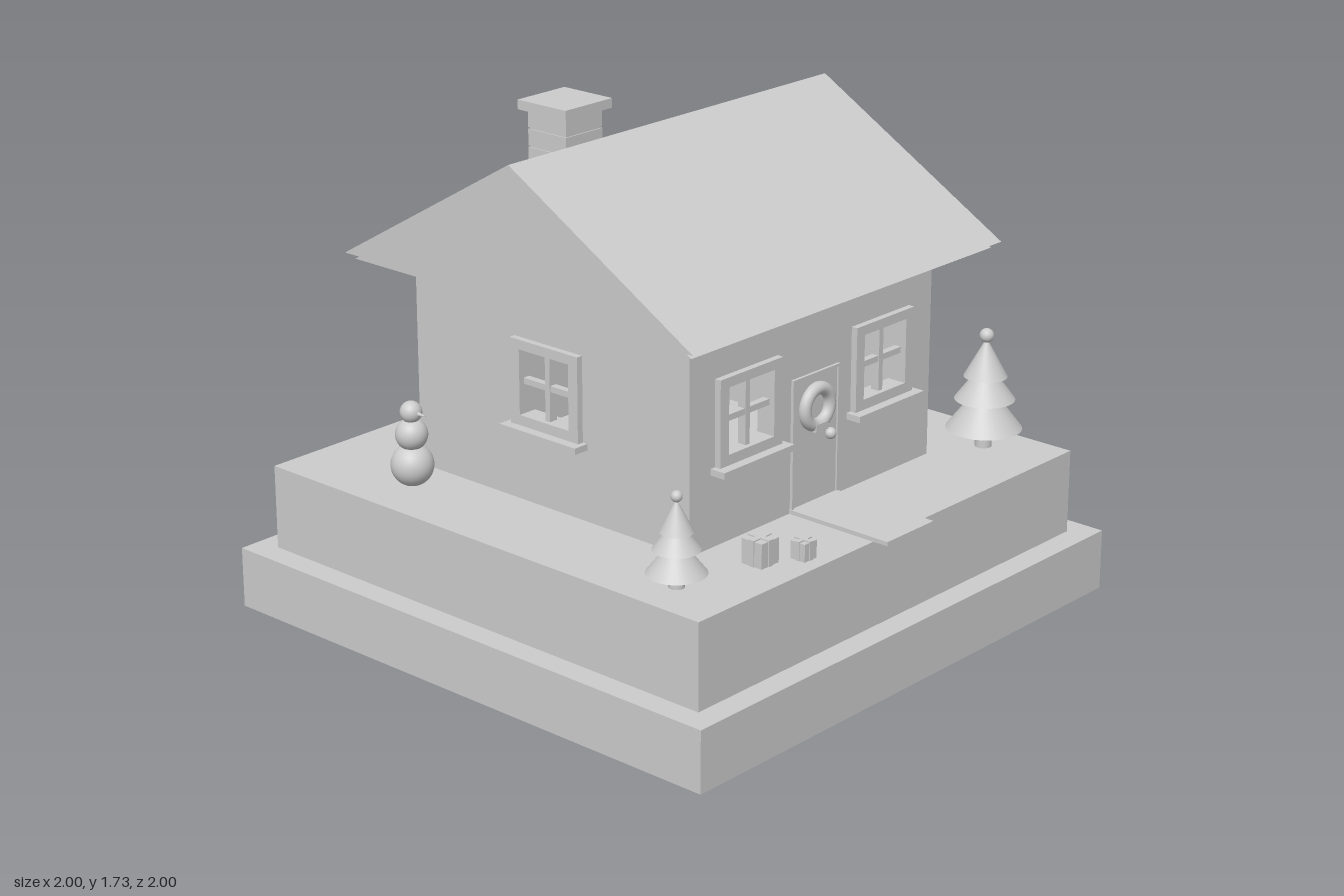
import * as THREE from 'three';

const plaster = new THREE.MeshStandardMaterial({ color: 0xcccccc });
plaster.name = 'plain grey';

function add(parent, name, geometry, x = 0, y = 0, z = 0) {
  const mesh = new THREE.Mesh(geometry, plaster);
  mesh.name = name;
  mesh.position.set(x, y, z);
  parent.add(mesh);
  return mesh;
}

function group(parent, name, x = 0, y = 0, z = 0) {
  const g = new THREE.Group();
  g.name = name;
  g.position.set(x, y, z);
  parent.add(g);
  return g;
}

// Box given by its lower and upper corners
function box(parent, name, [x0, y0, z0], [x1, y1, z1]) {
  return add(parent, name, new THREE.BoxGeometry(x1 - x0, y1 - y0, z1 - z0),
    (x0 + x1) / 2, (y0 + y1) / 2, (z0 + z1) / 2);
}

const rect = (S, x0, y0, x1, y1) => new S([[x0, y0], [x1, y0], [x1, y1], [x0, y1]]
  .map(([x, y]) => new THREE.Vector2(x, y)));

// Rectangular panel with rectangular holes, extruded along z
function panel(outer, holes, depth) {
  const shape = rect(THREE.Shape, ...outer);
  for (const h of holes) shape.holes.push(rect(THREE.Path, ...h));
  return new THREE.ExtrudeGeometry(shape, { depth, bevelEnabled: false });
}

// Gable prism with its ridge along x
function prism(halfX, halfZ, y0, y1) {
  const shape = new THREE.Shape();
  shape.moveTo(-halfZ, y0);
  shape.lineTo(halfZ, y0);
  shape.lineTo(0, y1);
  const g = new THREE.ExtrudeGeometry(shape, { depth: halfX * 2, bevelEnabled: false });
  return g.translate(0, 0, -halfX).rotateY(Math.PI / 2);
}

const GROUND = 0.49, WALL = 0.582, THICK = 0.045;

// One wall with its windows, facing +z before turning
function wall(parent, name, turn, halfWidth, windows) {
  const g = group(parent, name);
  g.rotation.y = turn;
  const holes = windows.map(x => [x - 0.107, 0.78, x + 0.107, 1.0]);
  add(g, 'wallPanel', panel([-halfWidth, GROUND, halfWidth, 1.2], holes, THICK), 0, 0, WALL - THICK);
  for (const x of windows) {
    const w = group(g, 'window', x, 0, WALL);
    add(w, 'windowFrame', panel([-0.144, 0.74, 0.144, 1.03], [[-0.105, 0.782, 0.105, 0.998]], 0.068), 0, 0, -0.046);
    box(w, 'windowSill', [-0.163, 0.727, -0.01], [0.163, 0.748, 0.055]);
    box(w, 'uprightBar', [-0.01, 0.78, -0.025], [0.01, 1.0, 0.005]);
    box(w, 'crossBar', [-0.107, 0.88, -0.022], [0.107, 0.9, 0.002]);
  }
}

// Three-tier fir; tiers are [base height, tip height, radius]
function fir(parent, name, x, z, trunkRadius, tiers, ballY, ballRadius) {
  const g = group(parent, name, x, 0, z);
  const h = tiers[0][0] - GROUND + 0.01;
  add(g, 'trunk', new THREE.CylinderGeometry(trunkRadius, trunkRadius, h, 24), 0, GROUND + h / 2, 0);
  for (const [y0, y1, r] of tiers) {
    add(g, 'branches', new THREE.ConeGeometry(r, y1 - y0, 32), 0, (y0 + y1) / 2, 0);
  }
  add(g, 'treeBall', new THREE.SphereGeometry(ballRadius, 20, 14), 0, ballY, 0);
}

// Parcel with two crossed ribbons
function present(parent, x, z, size) {
  const g = group(parent, 'present', x, GROUND, z);
  const s = size / 2 - 0.003, r = size * 0.12;
  box(g, 'parcel', [-s, 0, -s], [s, size - 0.004, s]);
  box(g, 'ribbonAcross', [-size / 2, 0, -r], [size / 2, size, r]);
  box(g, 'ribbonAlong', [-r, 0, -size / 2], [r, size, size / 2]);
}

export function createModel() {
  const model = new THREE.Group();
  model.name = 'winterCottage';

  // Stepped plinth
  box(model, 'base', [-1, 0, -1], [1, 0.205, 1]);
  box(model, 'platform', [-0.917, 0.205, -0.917], [0.917, GROUND, 0.917]);

  // Hollow house
  const house = group(model, 'house');
  wall(house, 'frontWall', 0, WALL, [-0.323, 0.323]);
  wall(house, 'backWall', Math.PI, WALL, [0]);
  wall(house, 'leftWall', Math.PI / 2, WALL - THICK, [0]);
  wall(house, 'rightWall', -Math.PI / 2, WALL - THICK, [0]);

  // Roof with a slightly smaller layer under the eaves
  add(house, 'roof', prism(0.74, 0.737, 1.21, 1.638));
  add(house, 'eaves', prism(0.72, 0.712, 1.19, 1.605));

  // Chimney built of courses with narrow joints
  const chimney = group(house, 'chimney', -0.326, 0, -0.163);
  box(chimney, 'chimneyCore', [-0.077, 1.42, -0.077], [0.077, 1.7, 0.077]);
  for (let i = 0; i < 5; i++) {
    const y = 1.41 + i * 0.058;
    box(chimney, 'brickCourse', [-0.081, y, -0.081], [0.081, y + 0.053, 0.081]);
  }
  box(chimney, 'chimneyCap', [-0.104, 1.7, -0.102], [0.104, 1.731, 0.102]);

  // Door, wreath and knob
  const door = group(house, 'door', 0, 0, WALL);
  box(door, 'doorLeaf', [-0.106, 0.5, -0.01], [0.106, 0.924, 0.004]);
  for (const s of [-1, 1]) {
    add(door, 'doorPost', new THREE.BoxGeometry(0.008, 0.435, 0.02), s * 0.109, 0.7125, 0);
  }
  box(door, 'doorLintel', [-0.113, 0.92, -0.01], [0.113, 0.93, 0.01]);
  add(door, 'wreath', new THREE.TorusGeometry(0.06, 0.021, 16, 40), 0, 0.818, 0.012);
  box(door, 'wreathBow', [-0.03, 0.742, 0], [0.03, 0.768, 0.034]);
  add(door, 'doorKnob', new THREE.SphereGeometry(0.019, 20, 14), 0.068, 0.71, 0.012);

  box(model, 'path', [-0.116, GROUND, 0.57], [0.112, 0.504, 0.972]);

  // Garden
  fir(model, 'largeFir', 0.765, 0.675, 0.028,
    [[0.555, 0.72, 0.126], [0.655, 0.79, 0.1], [0.733, 0.865, 0.072]], 0.873, 0.024);
  fir(model, 'smallFir', -0.77, 0.7, 0.025,
    [[0.535, 0.655, 0.094], [0.61, 0.71, 0.074], [0.665, 0.77, 0.052]], 0.777, 0.018);
  present(model, -0.468, 0.765, 0.085);
  present(model, -0.353, 0.838, 0.062);

  // Snowman looking forward
  const snowman = group(model, 'snowman', -0.725, 0, -0.47);
  for (const [y, r] of [[0.557, 0.07], [0.66, 0.053], [0.735, 0.036]]) {
    add(snowman, 'snowball', new THREE.SphereGeometry(r, 32, 20), 0, y, 0);
  }
  add(snowman, 'nose', new THREE.ConeGeometry(0.008, 0.035, 12).rotateX(Math.PI / 2), 0, 0.735, 0.05);

  return model;
}
